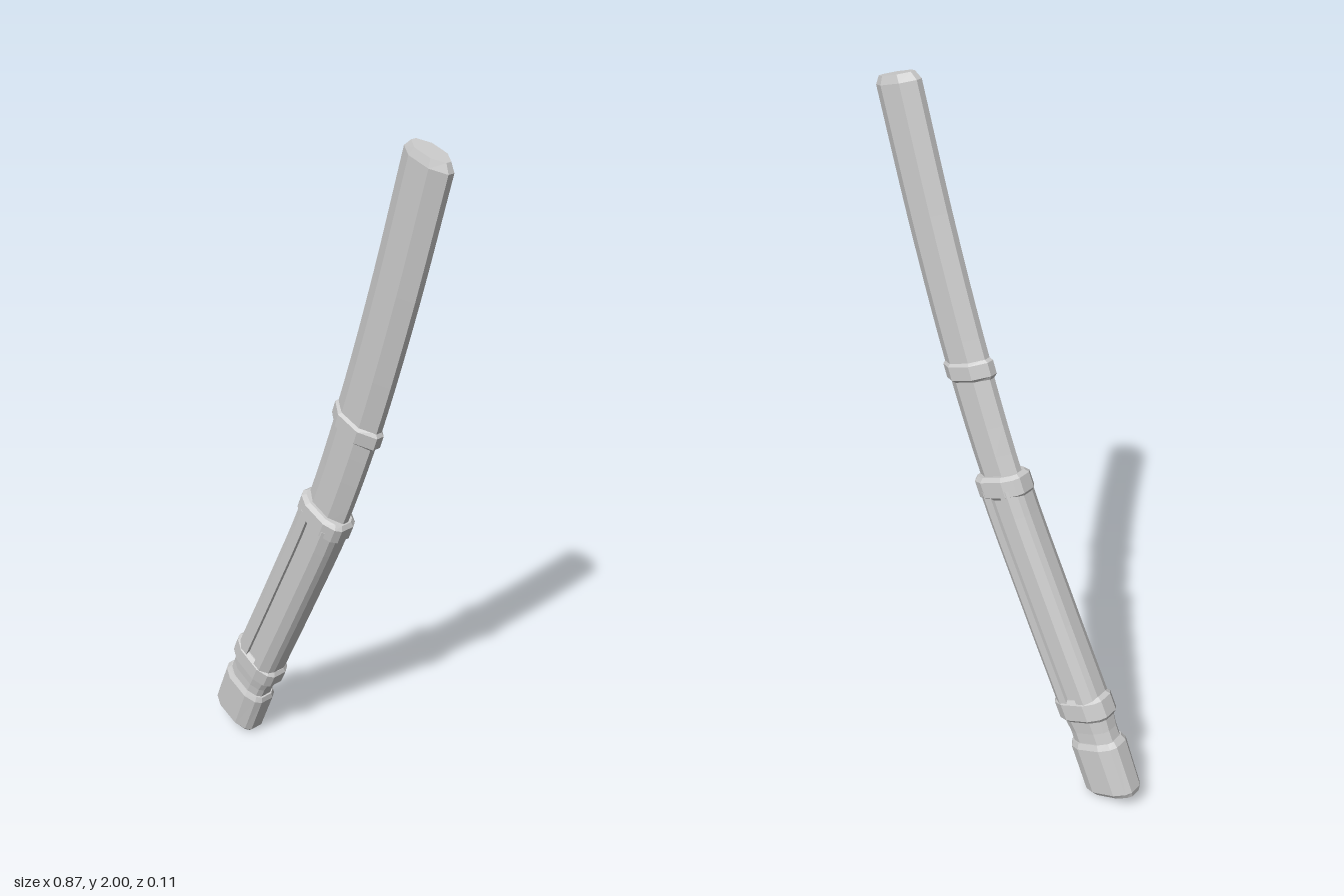
import * as THREE from 'three';

const material = new THREE.MeshStandardMaterial({ color: 0xcccccc, flatShading: true, side: THREE.DoubleSide });

// Curved centre line: leans to +x, straightening towards the tip
const spine = new THREE.CatmullRomCurve3(
  [[-0.379, 0], [-0.297, 0.2], [-0.11, 0.6], [0.036, 0.92], [0.155, 1.24], [0.267, 1.6], [0.373, 1.99]]
    .map(([x, y]) => new THREE.Vector3(x, y, 0)));

// Point and tangent of the centre line at a given height
function spineAt(y) {
  let lo = 0, hi = 1;
  for (let i = 0; i < 30; i++) {
    const mid = (lo + hi) / 2;
    if (spine.getPoint(mid).y < y) lo = mid; else hi = mid;
  }
  return { p: spine.getPoint(lo), t: spine.getTangent(lo) };
}

// Quarter outlines as fractions of half width and half depth, front to edge
const BLADE = [[0.45, 1], [1, 0.28]];
const FITTING = [[0.45, 1], [0.85, 0.72], [1, 0.4]];
const GRIP = [[0.24, 0.8], [0.24, 1], [0.58, 1], [0.9, 0.68], [1, 0.36]];

function mirrorOutline(q) {
  const r = [...q].reverse();
  return [...q, ...r.map(([s, z]) => [s, -z]), ...q.map(([s, z]) => [-s, -z]), ...r.map(([s, z]) => [-s, z])];
}

// Loft an outline along the spine; stations are [height, halfWidth, halfDepth]
function loft(name, quarter, stations) {
  const outline = mirrorOutline(quarter);
  const n = outline.length;
  const pos = [];
  const index = [];
  for (const [y, w, d] of stations) {
    const { p, t } = spineAt(y);
    for (const [s, z] of outline) pos.push(p.x + t.y * s * w, p.y - t.x * s * w, z * d);
  }
  const last = stations.length - 1;
  for (let k = 0; k < last; k++) {
    for (let i = 0; i < n; i++) {
      const a = k * n + i, b = k * n + (i + 1) % n;
      index.push(a, b, b + n, a, b + n, a + n);
    }
  }
  // End caps
  for (const k of [0, last]) {
    const c = pos.length / 3;
    const { p } = spineAt(stations[k][0]);
    pos.push(p.x, p.y, 0);
    for (let i = 0; i < n; i++) {
      const a = k * n + i, b = k * n + (i + 1) % n;
      if (k) index.push(c, a, b); else index.push(c, b, a);
    }
  }
  const geometry = new THREE.BufferGeometry();
  geometry.setAttribute('position', new THREE.Float32BufferAttribute(pos, 3));
  geometry.setIndex(index);
  geometry.computeVertexNormals();
  const mesh = new THREE.Mesh(geometry, material);
  mesh.name = name;
  return mesh;
}

// Evenly spaced stations with linearly changing size
function span(y0, y1, steps, from, to = from) {
  return Array.from({ length: steps + 1 }, (_, i) => {
    const f = i / steps;
    return [y0 + (y1 - y0) * f, from[0] + (to[0] - from[0]) * f, from[1] + (to[1] - from[1]) * f];
  });
}

// Bevelled ring
function collar(name, quarter, y, height, w, d) {
  const h = height / 2, b = 0.01;
  return loft(name, quarter, [
    [y - h, w - b, d - b], [y - h + b, w, d], [y + h - b, w, d], [y + h, w - b, d - b],
  ]);
}

export function createModel() {
  const group = new THREE.Group();
  group.name = 'curvedSword';
  group.add(
    // Pommel with bevelled ends
    loft('pommel', FITTING, [
      [0.033, 0.078, 0.038], [0.048, 0.085, 0.05], [0.185, 0.085, 0.053], [0.2, 0.077, 0.045],
    ]),
    loft('neck', FITTING, [[0.19, 0.072, 0.042], [0.23, 0.072, 0.042], [0.285, 0.08, 0.046]]),
    collar('lowerCollar', FITTING, 0.297, 0.066, 0.088, 0.054),
    // Grip with a recessed channel down each face
    loft('grip', GRIP, span(0.31, 0.92, 8, [0.077, 0.051], [0.075, 0.05])),
    collar('upperCollar', FITTING, 0.925, 0.062, 0.083, 0.051),
    // Blade in two sections parted by a ring
    loft('bladeBase', BLADE, span(0.93, 1.24, 4, [0.069, 0.033], [0.071, 0.033])),
    collar('bladeCollar', BLADE, 1.238, 0.056, 0.081, 0.041),
    loft('blade', BLADE, [
      ...span(1.24, 1.965, 9, [0.073, 0.034], [0.071, 0.033]),
      [1.985, 0.056, 0.027],
    ]),
  );
  return group;
}
